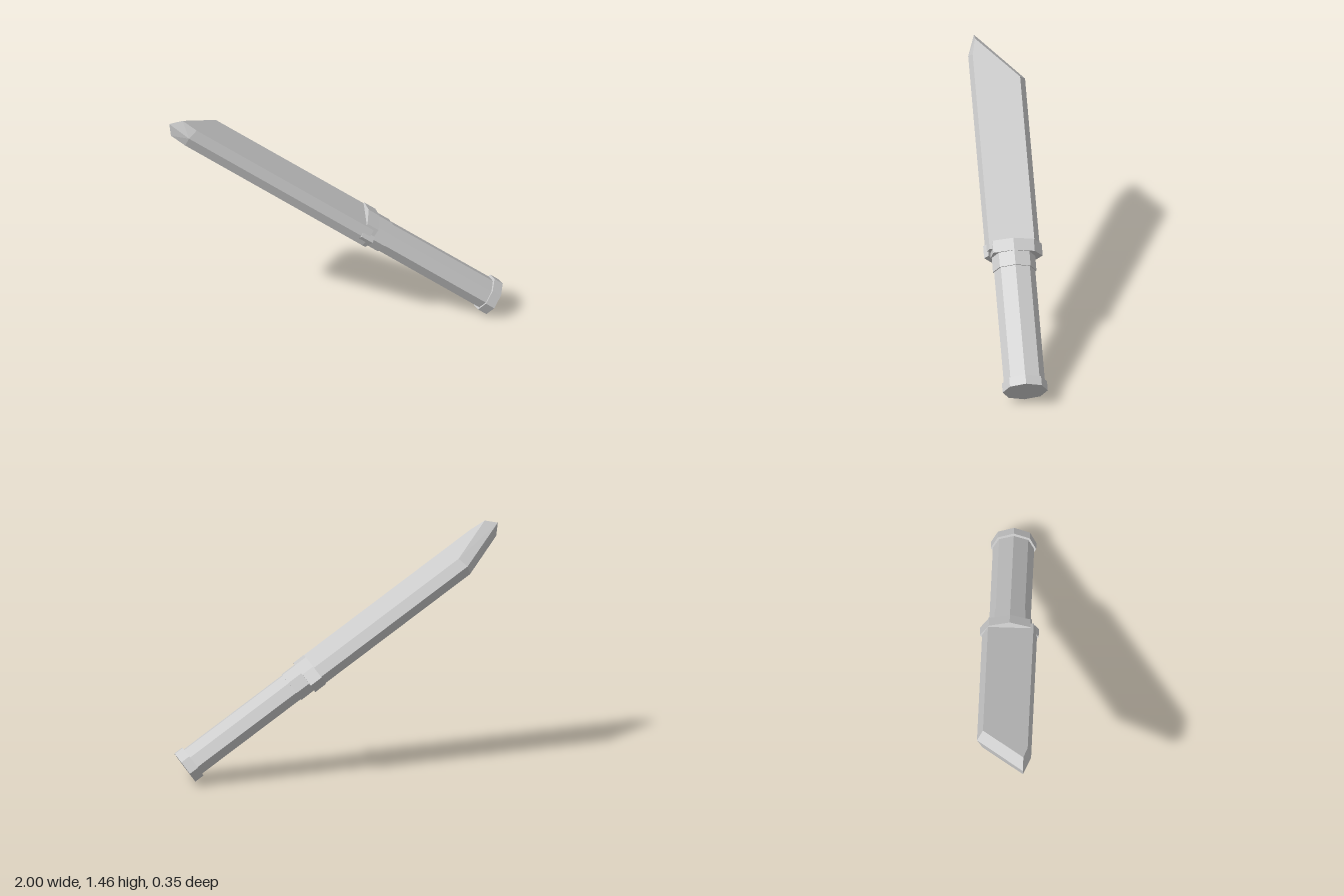
import * as THREE from 'three';
import { ConvexGeometry } from 'three/addons/geometries/ConvexGeometry.js';

// Built upright: y runs from pommel to tip, x is the thickness, z the width.
export function createModel() {
  const model = new THREE.Group();
  model.name = 'shortSword';
  const material = new THREE.MeshStandardMaterial({ color: 0xcccccc, flatShading: true });

  const add = (name, geometry) => {
    const mesh = new THREE.Mesh(geometry, material);
    mesh.name = name;
    sword.add(mesh);
  };
  // Flattened eight-sided prism between two heights
  const prism = (name, y0, y1, rx, rz) => {
    const g = new THREE.CylinderGeometry(1, 1, y1 - y0, 8);
    g.scale(rx, 1, rz);
    g.translate(0, (y0 + y1) / 2, 0);
    add(name, g);
  };

  const sword = new THREE.Group();
  sword.name = 'tiltedSword';

  prism('pommel', 0, 0.06, 0.107, 0.135);
  prism('handle', 0.03, 0.85, 0.09, 0.123);
  prism('collar', 0.795, 0.9, 0.096, 0.13);

  // Guard: wide octagon with a small notch beside the cutting edge
  const c = Math.SQRT1_2, gx = 0.098, gz = 0.175;
  const guard = new THREE.Shape([
    [0, gz], [0.03, 0.15], [0.004, 0.136], [gx * c, gz * c],
    [gx, 0], [gx * c, -gz * c], [0, -gz],
    [-gx * c, -gz * c], [-gx, 0], [-gx * c, gz * c],
  ].map(([x, z]) => new THREE.Vector2(x, z)));
  const guardGeometry = new THREE.ExtrudeGeometry(guard, { depth: 0.08, bevelEnabled: false });
  guardGeometry.rotateX(Math.PI / 2);
  guardGeometry.translate(0, 0.97, 0);
  add('guard', guardGeometry);

  // Blade: outlines [z, y] of the middle ridge and of the two flat sides
  const ridge = [[0.165, 0.92], [0.165, 2.226], [0.12, 2.366], [-0.162, 2.062], [-0.162, 0.92]];
  const flat = [[0.143, 0.92], [0.143, 2.21], [0.12, 2.311], [-0.128, 2.047], [-0.128, 0.92]];
  const points = [];
  for (const [z, y] of ridge) points.push(new THREE.Vector3(0, y, z));
  for (const side of [-1, 1]) {
    for (const [z, y] of flat) points.push(new THREE.Vector3(side * 0.061, y, z));
  }
  add('blade', new ConvexGeometry(points));

  // Lean the whole sword with its tip up to the right
  sword.rotation.z = THREE.MathUtils.degToRad(55);
  sword.position.set(0.937, 0.0885, 0);
  model.add(sword);
  return model;
}
